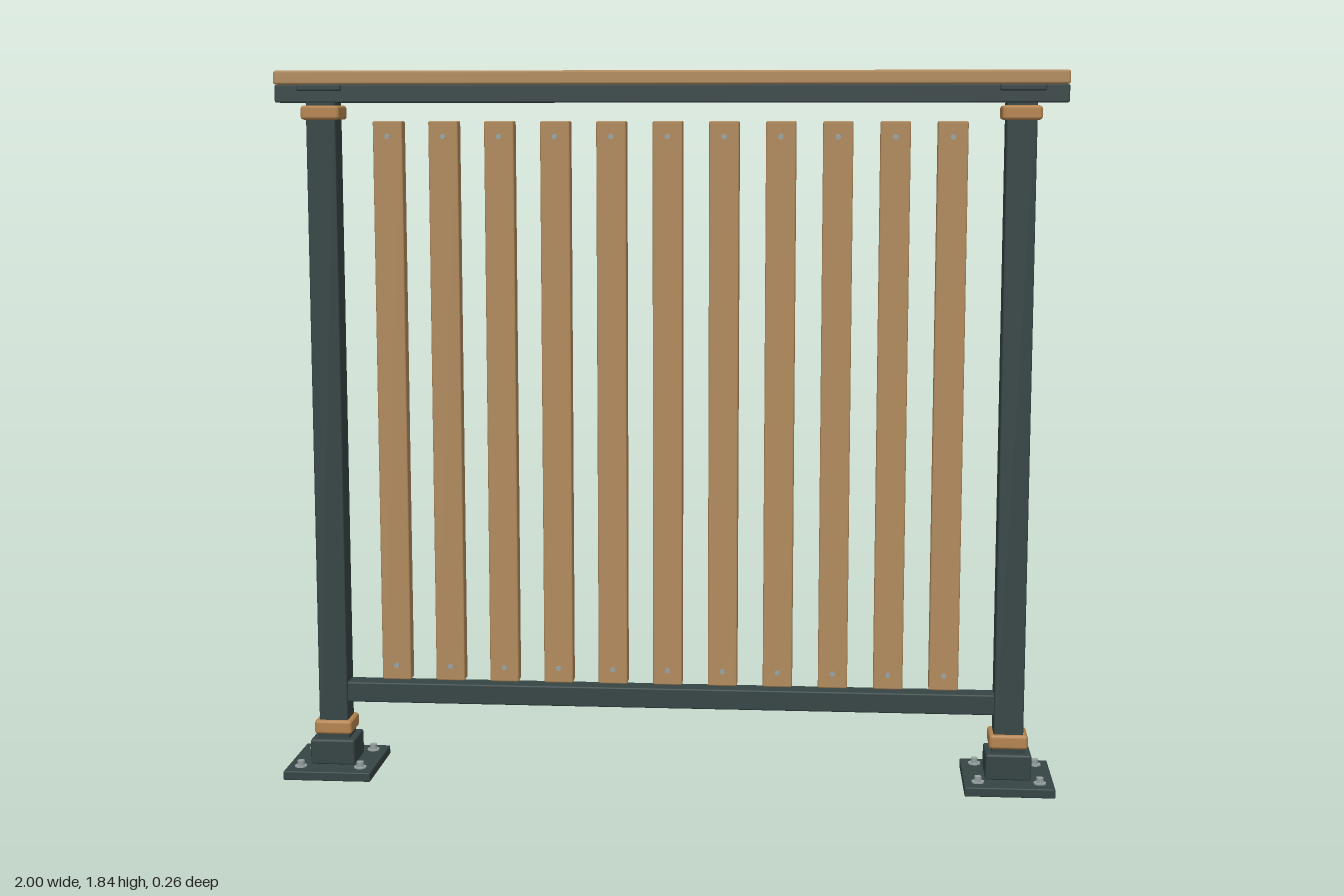
import * as THREE from 'three';
import { RoundedBoxGeometry } from 'three/addons/geometries/RoundedBoxGeometry.js';

const paint = (name, color) => Object.assign(new THREE.MeshStandardMaterial({ color }), { name });

export function createModel() {
  const wood = paint('wood', 0xb08a5c);
  const trimWood = paint('trim wood', 0xb5844f);
  const metal = paint('dark metal', 0x364444);
  const steel = paint('steel', 0x98a2a2);
  const model = new THREE.Group();
  model.name = 'railing';

  // Box with softened edges, given by its bottom, top, width and depth
  function block(parent, name, mat, x, y0, y1, w, d, bevel = 0.004) {
    const mesh = new THREE.Mesh(new RoundedBoxGeometry(w, y1 - y0, d, 1, bevel), mat);
    mesh.name = name;
    mesh.position.set(x, (y0 + y1) / 2, 0);
    parent.add(mesh);
    return mesh;
  }

  // Short cylinder standing upright, or facing the front
  function disc(parent, name, mat, r, h, sides, x, y, z, facesFront = false) {
    const mesh = new THREE.Mesh(new THREE.CylinderGeometry(r, r, h, sides), mat);
    mesh.name = name;
    mesh.position.set(x, y, z);
    if (facesFront) mesh.rotation.x = Math.PI / 2;
    parent.add(mesh);
  }

  // Handrail: wooden cap on a metal rail, and the lower rail
  block(model, 'handrailCap', wood, 0, 1.8, 1.835, 2, 0.13, 0.006);
  block(model, 'topRail', metal, 0, 1.755, 1.8, 2, 0.1);
  block(model, 'bottomRail', metal, 0, 0.187, 0.24, 1.71, 0.06);

  // Posts with feet, collars and bolts
  for (const side of [-1, 1]) {
    const post = new THREE.Group();
    post.name = side < 0 ? 'rightPost' : 'leftPost';
    post.position.x = side * 0.885;
    model.add(post);
    block(post, 'basePlate', metal, 0, 0, 0.024, 0.23, 0.262, 0.003);
    block(post, 'baseBlock', metal, 0, 0.022, 0.09, 0.118, 0.118, 0.006);
    block(post, 'baseNeck', metal, 0, 0.085, 0.106, 0.084, 0.084, 0.003);
    block(post, 'lowerCollar', trimWood, 0, 0.102, 0.139, 0.1, 0.1, 0.008);
    block(post, 'shaft', metal, 0, 0.1, 1.757, 0.076, 0.076);
    block(post, 'upperCollar', trimWood, 0, 1.712, 1.748, 0.1, 0.1, 0.008);
    block(post, 'capital', metal, 0, 1.784, 1.801, 0.116, 0.116, 0.005);
    for (const x of [-0.079, 0.079]) {
      for (const z of [-0.083, 0.083]) {
        disc(post, 'washer', steel, 0.016, 0.004, 20, x, 0.026, z);
        disc(post, 'bolt', steel, 0.01, 0.014, 6, x, 0.034, z);
      }
    }
  }

  // Slats with a screw near each end of the front
  for (let i = -5; i <= 5; i++) {
    const slat = new THREE.Group();
    slat.name = 'slat';
    slat.position.x = i * 0.1433;
    model.add(slat);
    block(slat, 'board', wood, 0, 0.248, 1.709, 0.076, 0.044);
    for (const y of [0.287, 1.67]) disc(slat, 'screw', steel, 0.007, 0.004, 12, 0, y, 0.023, true);
  }
  return model;
}
